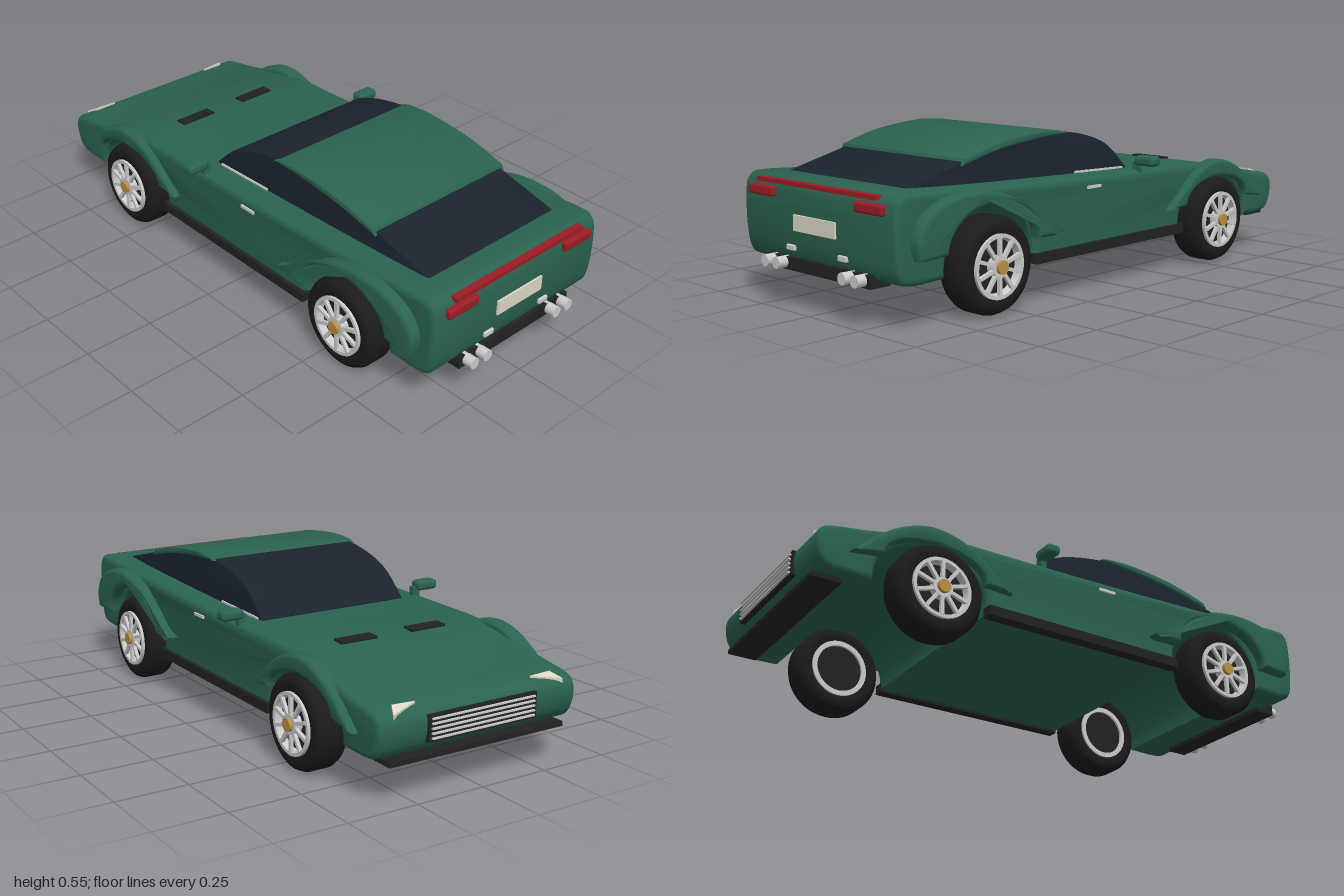
import * as THREE from 'three';
import { toCreasedNormals } from 'three/addons/utils/BufferGeometryUtils.js';
import { RoundedBoxGeometry } from 'three/addons/geometries/RoundedBoxGeometry.js';

const paint = (color) => new THREE.MeshStandardMaterial({ color });
const GREEN = paint(0x2a6350), GLASS = paint(0x1b232e), BLACK = paint(0x222224), RUBBER = paint(0x1b1b1c);
const RED = paint(0x9c1d25), CREAM = paint(0xddd6c6), GOLD = paint(0xb8903f), GREY = paint(0xcccccc);

const V = (a) => a.map(([x, y]) => new THREE.Vector2(x, y));
const spline = (a, n = 40) => new THREE.SplineCurve(V(a)).getPoints(n);

// Half-ellipse wheel opening, from low z to high z
function arch(cz, cy, rz, ry, n = 24) {
  return Array.from({ length: n + 1 }, (_, i) => {
    const t = Math.PI * (1 - i / n);
    return new THREE.Vector2(cz + rz * Math.cos(t), cy + ry * Math.sin(t));
  });
}

// Side outline (z, y) extruded across x, with rounded edges kept inside the outline
function slab(points, width, bevel) {
  const g = new THREE.ExtrudeGeometry(new THREE.Shape(points), {
    depth: width - 2 * bevel, bevelEnabled: true, bevelSize: bevel, bevelThickness: bevel,
    bevelOffset: -bevel, bevelSegments: 5,
  });
  g.translate(0, 0, -(width - 2 * bevel) / 2).rotateY(-Math.PI / 2);
  return toCreasedNormals(g, 0.6);
}

function wheel() {
  const w = new THREE.Group();
  const add = (name, geo, mat) => {
    const m = new THREE.Mesh(geo, mat);
    m.name = name;
    w.add(m);
  };
  const lathe = (pts) => toCreasedNormals(new THREE.LatheGeometry(V(pts), 48).rotateZ(-Math.PI / 2), 0.7);
  const disc = (r, d, x, n = 32) => new THREE.CylinderGeometry(r, r, d, n).rotateZ(-Math.PI / 2).translate(x, 0, 0);
  add('tyre', lathe([[0.1, -0.052], [0.115, -0.059], [0.135, -0.058], [0.15, -0.049], [0.158, -0.032],
    [0.158, 0.032], [0.15, 0.049], [0.135, 0.058], [0.115, 0.059], [0.1, 0.052], [0.1, -0.052]]), RUBBER);
  add('rim', lathe([[0.086, -0.06], [0.104, -0.06], [0.104, 0.064], [0.092, 0.064], [0.088, 0.05], [0.086, -0.06]]), GREY);
  add('brakeDisc', disc(0.087, 0.09, -0.006), BLACK);
  for (let i = 0; i < 10; i++) {
    const s = new THREE.BoxGeometry(0.012, 0.08, 0.012).translate(0.06, 0.054, 0);
    add('spoke', s.rotateX((i * Math.PI) / 5), GREY);
  }
  add('hub', disc(0.034, 0.03, 0.052), GREY);
  add('hubCap', disc(0.022, 0.022, 0.068, 24), GOLD);
  return w;
}

export function createModel() {
  const car = new THREE.Group();
  car.name = 'sportsCar';
  const add = (name, geo, mat, x = 0, y = 0, z = 0) => {
    const m = new THREE.Mesh(geo, mat);
    m.name = name;
    m.position.set(x, y, z);
    car.add(m);
    return m;
  };
  const box = (name, mat, sx, sy, sz, x, y, z) => add(name, new THREE.BoxGeometry(sx, sy, sz), mat, x, y, z);
  const round = (name, mat, sx, sy, sz, x, y, z, r) => add(name, new RoundedBoxGeometry(sx, sy, sz, 3, r), mat, x, y, z);

  // Body shell: rear end, deck, bonnet and nose, then the underside with two arches
  const shell = spline([[0.77, 0.14], [0.9, 0.138], [0.948, 0.16], [0.965, 0.24], [0.965, 0.36], [0.948, 0.407],
    [0.9, 0.42], [0.7, 0.409], [0.4, 0.397], [0, 0.385], [-0.3, 0.379], [-0.5, 0.374], [-0.65, 0.352],
    [-0.82, 0.316], [-0.94, 0.295], [-0.978, 0.27], [-0.985, 0.22], [-0.965, 0.165], [-0.92, 0.142], [-0.79, 0.142]], 90);
  const body = [...shell, ...arch(-0.587, 0.165, 0.203, 0.145), new THREE.Vector2(-0.384, 0.14),
    new THREE.Vector2(0.39, 0.14), ...arch(0.58, 0.165, 0.19, 0.187)];
  add('body', slab(body, 0.77, 0.022), GREEN);

  // Cabin glass and roof panel
  const dome = spline([[-0.18, 0.385], [-0.07, 0.477], [0.09, 0.526], [0.276, 0.538], [0.464, 0.518], [0.625, 0.475], [0.85, 0.418]]);
  add('cabinGlass', slab([...dome, ...V([[0.85, 0.385], [-0.18, 0.365]])], 0.588, 0.006), GLASS);
  const roof = [...spline([[0.17, 0.54], [0.28, 0.545], [0.464, 0.525], [0.615, 0.486]], 20),
    ...spline([[0.625, 0.464], [0.464, 0.501], [0.28, 0.523], [0.14, 0.53]], 20)];
  add('roof', slab(roof, 0.612, 0.005), GREEN);

  // Flared wings over the wheels
  const frontFlare = [...spline([[-0.3, 0.222], [-0.36, 0.27], [-0.44, 0.335], [-0.52, 0.37], [-0.61, 0.379],
    [-0.7, 0.352], [-0.79, 0.295], [-0.88, 0.212]], 32), ...arch(-0.585, 0.228, 0.185, 0.09)];
  const rearFlare = [...spline([[0.9, 0.215], [0.91, 0.28], [0.87, 0.35], [0.78, 0.393], [0.66, 0.402], [0.54, 0.38],
    [0.43, 0.315], [0.34, 0.25], [0.28, 0.23], [0.3, 0.217]], 36), ...arch(0.592, 0.22, 0.195, 0.135)];

  for (const s of [1, -1]) {
    add('frontFlare', slab(frontFlare, 0.06, 0.014), GREEN, s * 0.382);
    add('rearFlare', slab(rearFlare, 0.08, 0.018), GREEN, s * 0.385);
    for (const z of [-0.576, 0.587]) {
      const w = wheel();
      w.name = z < 0 ? 'frontWheel' : 'rearWheel';
      w.position.set(s * 0.3675, 0.158, z);
      if (s < 0) w.rotation.y = Math.PI;
      car.add(w);
    }
    // Sides
    box('sill', BLACK, 0.04, 0.034, 0.775, s * 0.38, 0.147, 0.003);
    box('doorHandle', GREY, 0.012, 0.01, 0.066, s * 0.386, 0.352, 0.098);
    box('windowTrim', GREY, 0.012, 0.007, 0.25, s * 0.294, 0.388, -0.03).rotation.x = -0.03;
    round('mirror', GREEN, 0.085, 0.036, 0.052, s * 0.407, 0.416, -0.162, 0.014);
    box('mirrorStalk', GREEN, 0.03, 0.04, 0.02, s * 0.365, 0.392, -0.16);
    // Bonnet vents and headlights
    box('bonnetVent', BLACK, 0.14, 0.008, 0.045, s * 0.14, 0.376, -0.512).rotation.x = -0.05;
    const lamp = new THREE.ExtrudeGeometry(new THREE.Shape(V([[s * 0.33, 0.978], [s * 0.308, 0.938], [s * 0.225, 0.942]])),
      { depth: 0.02, bevelEnabled: false }).rotateX(-Math.PI / 2);
    const p = lamp.attributes.position;
    for (let i = 0; i < p.count; i++) p.setY(i, p.getY(i) + 0.283 + (p.getZ(i) + 0.94) * 0.45);
    lamp.computeVertexNormals();
    add('headlight', lamp, CREAM);
    // Rear lights, reversing lamps and exhausts
    round('tailLight', RED, 0.132, 0.034, 0.03, s * 0.271, 0.369, 0.966, 0.008);
    round('reversingLamp', GREY, 0.042, 0.019, 0.02, s * 0.131, 0.197, 0.96, 0.004);
    for (const x of [0.168, 0.228]) {
      add('exhaust', new THREE.CylinderGeometry(0.0195, 0.0195, 0.08, 24).rotateX(Math.PI / 2), GREY, s * x, 0.146, 0.96);
    }
  }

  // Rear trim
  box('lightBar', RED, 0.6, 0.014, 0.03, 0, 0.403, 0.956);
  box('numberPlate', CREAM, 0.21, 0.052, 0.012, 0, 0.281, 0.968);
  box('diffuser', BLACK, 0.524, 0.042, 0.08, 0, 0.143, 0.925);

  // Front grille and splitter
  box('grille', BLACK, 0.42, 0.085, 0.03, 0, 0.225, -0.977);
  for (let i = 0; i < 5; i++) box('grilleSlat', GREY, 0.4, 0.005, 0.012, 0, 0.194 + i * 0.0155, -0.994);
  box('splitter', BLACK, 0.68, 0.016, 0.1, 0, 0.133, -0.928);
  return car;
}
